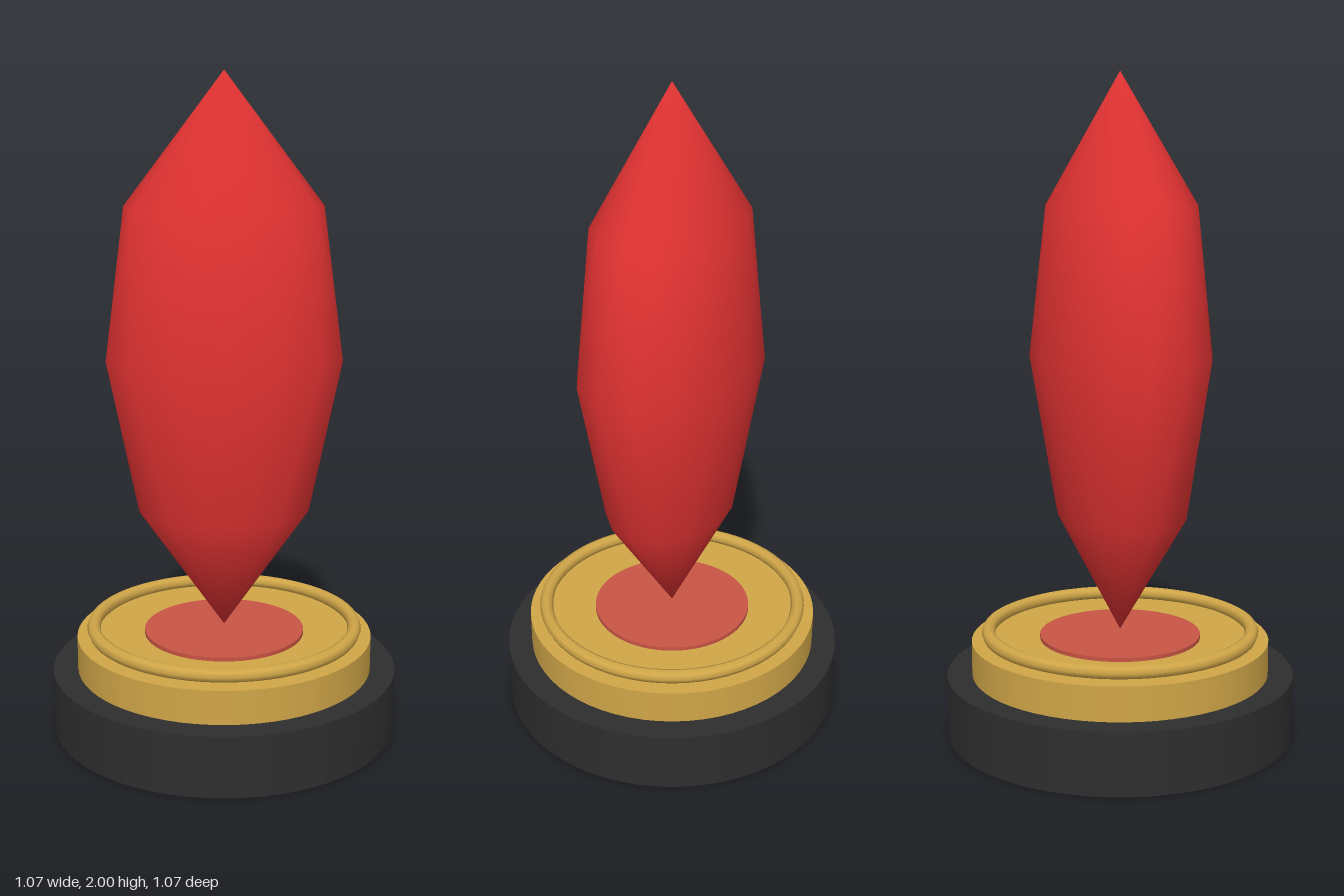
import * as THREE from 'three';

const SIDES = 14;

// Faceted crystal: elliptical rings, alternately turned by half a step, closed by two tips
function crystalGeometry(rings, bottomY, topY) {
  const pos = [0, bottomY, 0];
  const index = [];
  for (const { y, rx, rz, twist } of rings) {
    for (let i = 0; i < SIDES; i++) {
      const a = ((i + twist) / SIDES) * Math.PI * 2;
      pos.push(rx * Math.sin(a), y, rz * Math.cos(a));
    }
  }
  const top = pos.length / 3;
  pos.push(0, topY, 0);
  const at = (r, i) => 1 + r * SIDES + ((i + SIDES) % SIDES);
  const last = rings.length - 1;
  for (let i = 0; i < SIDES; i++) {
    index.push(0, at(0, i + 1), at(0, i));
    index.push(top, at(last, i), at(last, i + 1));
    for (let r = 0; r < last; r++) {
      const a = at(r, i), b = at(r, i + 1), c = at(r + 1, i), d = at(r + 1, i + 1);
      // the diagonal follows the direction of the half-step turn
      if (rings[r].twist > 0) index.push(a, b, d, a, d, c);
      else index.push(a, b, c, b, d, c);
    }
  }
  const geo = new THREE.BufferGeometry();
  geo.setAttribute('position', new THREE.Float32BufferAttribute(pos, 3));
  geo.setIndex(index);
  geo.computeVertexNormals();
  return geo;
}

export function createModel() {
  const black = new THREE.MeshStandardMaterial({ name: 'black', color: 0x2e2e2e });
  const gold = new THREE.MeshStandardMaterial({ name: 'gold', color: 0xd0a648 });
  const red = new THREE.MeshStandardMaterial({ name: 'red', color: 0xe53333 });
  const paleRed = new THREE.MeshStandardMaterial({ name: 'paleRed', color: 0xc85444 });

  const model = new THREE.Group();
  model.name = 'crystalTrophy';
  const add = (name, geo, mat, y = 0) => {
    const mesh = new THREE.Mesh(geo, mat);
    mesh.name = name;
    mesh.position.y = y;
    model.add(mesh);
    return mesh;
  };
  const disc = (name, r, y0, y1, mat) =>
    add(name, new THREE.CylinderGeometry(r, r, y1 - y0, 64), mat, (y0 + y1) / 2);

  // Stepped pedestal
  disc('base', 0.533, 0, 0.187, black);
  disc('collar', 0.457, 0.187, 0.291, gold);
  const rim = add('rim', new THREE.TorusGeometry(0.405, 0.021, 8, 64), gold, 0.315);
  rim.rotation.x = Math.PI / 2;
  disc('glowDisc', 0.247, 0.291, 0.303, paleRed);

  // Crystal balanced on its lower tip
  add('crystal', crystalGeometry([
    { y: 0.68, rx: 0.26, rz: 0.185, twist: 0.5 },
    { y: 1.16, rx: 0.36, rz: 0.257, twist: 0 },
    { y: 1.612, rx: 0.295, rz: 0.211, twist: 0.5 },
  ], 0.315, 2), red);

  return model;
}
